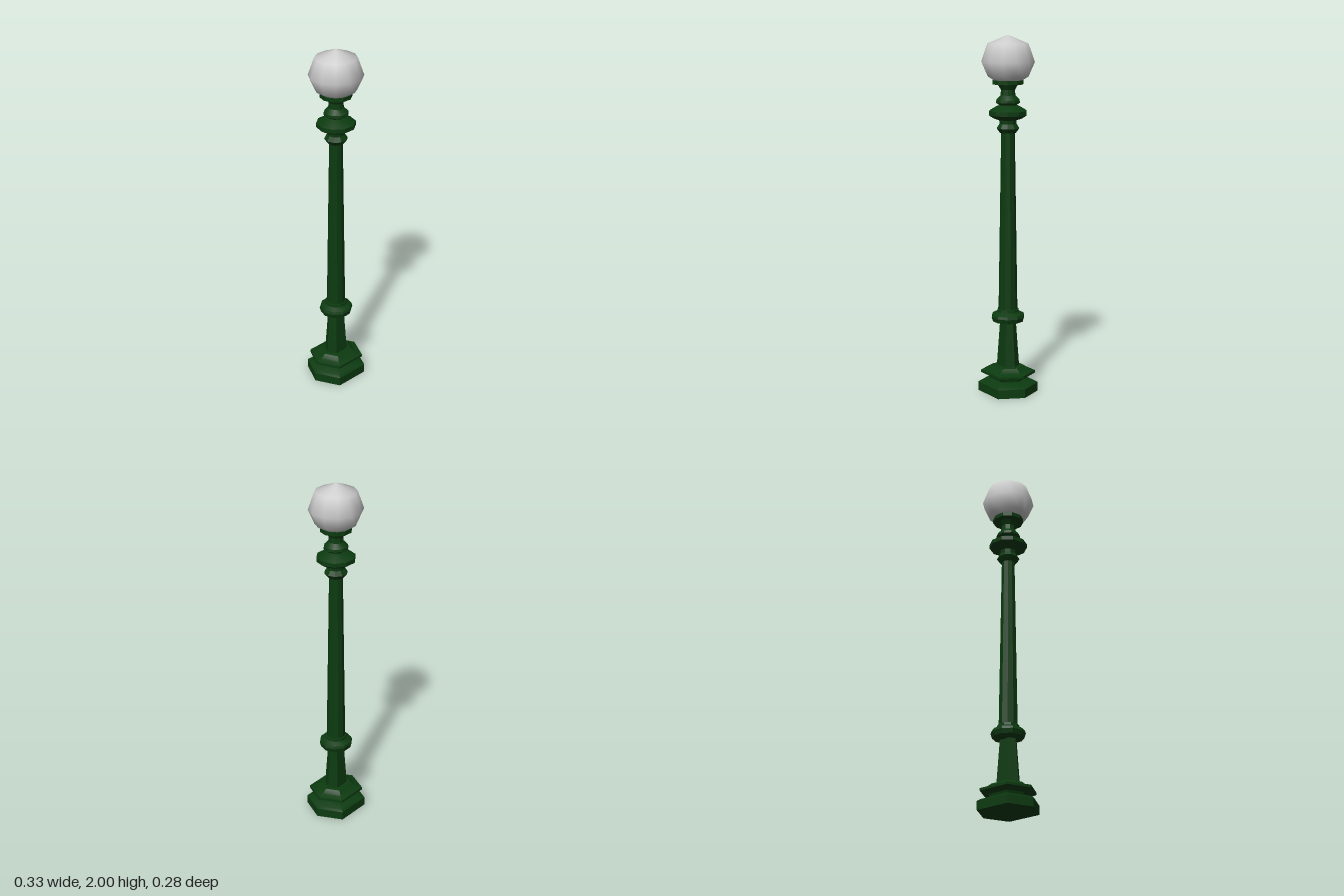
import * as THREE from 'three';
import { toCreasedNormals } from 'three/addons/utils/BufferGeometryUtils.js';

const green = new THREE.MeshStandardMaterial({ color: 0x0c3b10 });
green.name = 'dark green iron';
const white = new THREE.MeshStandardMaterial({ color: 0xcacaca });
white.name = 'frosted glass';

// Turned part from [radius, height] pairs, listed from bottom to top
function turned(name, profile, sides, material, crease, turn = Math.PI / 2) {
  const points = profile.map(([r, y]) => new THREE.Vector2(r, y));
  let geo = new THREE.LatheGeometry(points, sides).rotateY(turn);
  if (crease) geo = toCreasedNormals(geo, crease);
  const mesh = new THREE.Mesh(geo, material);
  mesh.name = name;
  return mesh;
}

// Six-sided part with broad front and back faces
function hexPart(name, profile, depth = 1) {
  const mesh = turned(name, profile, 6, green);
  const pos = mesh.geometry.attributes.position;
  for (let i = 0; i < pos.count; i++) {
    const z = pos.getZ(i);
    if (Math.abs(z) > 1e-4) pos.setXYZ(i, pos.getX(i) * 1.2, pos.getY(i), z * 0.935 * depth);
  }
  mesh.geometry = toCreasedNormals(mesh.geometry, 0.5);
  return mesh;
}

export function createModel() {
  const lamp = new THREE.Group();
  lamp.name = 'streetLamp';

  // Stepped hexagonal foot and tapering pedestal
  lamp.add(hexPart('foot', [
    [0, 0], [0.167, 0], [0.167, 0.05], [0.15, 0.06], [0.1, 0.075], [0.105, 0.09],
    [0.152, 0.106], [0.152, 0.12], [0.115, 0.13], [0.09, 0.15], [0, 0.16],
  ]));
  lamp.add(hexPart('pedestal', [[0.07, 0.14], [0.048, 0.42]], 0.85));

  // Collar joining pedestal and shaft
  lamp.add(turned('lowerCollar', [
    [0.03, 0.395], [0.05, 0.4], [0.087, 0.41], [0.095, 0.435], [0.09, 0.45],
    [0.062, 0.465], [0.06, 0.48], [0, 0.49],
  ], 10, green, 0.5));

  // Faceted tapering shaft
  lamp.add(turned('shaft', [[0.053, 0.47], [0.037, 1.5]], 10, green, 0.3, 0));

  // Turned capital with rings and the cup holding the globe
  lamp.add(turned('capital', [
    [0, 1.465], [0.045, 1.47], [0.064, 1.495], [0.048, 1.52], [0.05, 1.54], [0.08, 1.55],
    [0.107, 1.567], [0.107, 1.59], [0.07, 1.612], [0.048, 1.622], [0.068, 1.635],
    [0.066, 1.65], [0.042, 1.675], [0.04, 1.705], [0.055, 1.73], [0.087, 1.735],
    [0.087, 1.757], [0, 1.757],
  ], 10, green, 0.5));

  // Round glass globe
  const globe = turned('globe', [
    [0, 1.75], [0.08, 1.756], [0.114, 1.777], [0.149, 1.856], [0.114, 1.954], [0, 2],
  ], 12, white, 0, Math.PI / 12);
  globe.scale.z = 0.985;
  lamp.add(globe);

  return lamp;
}
